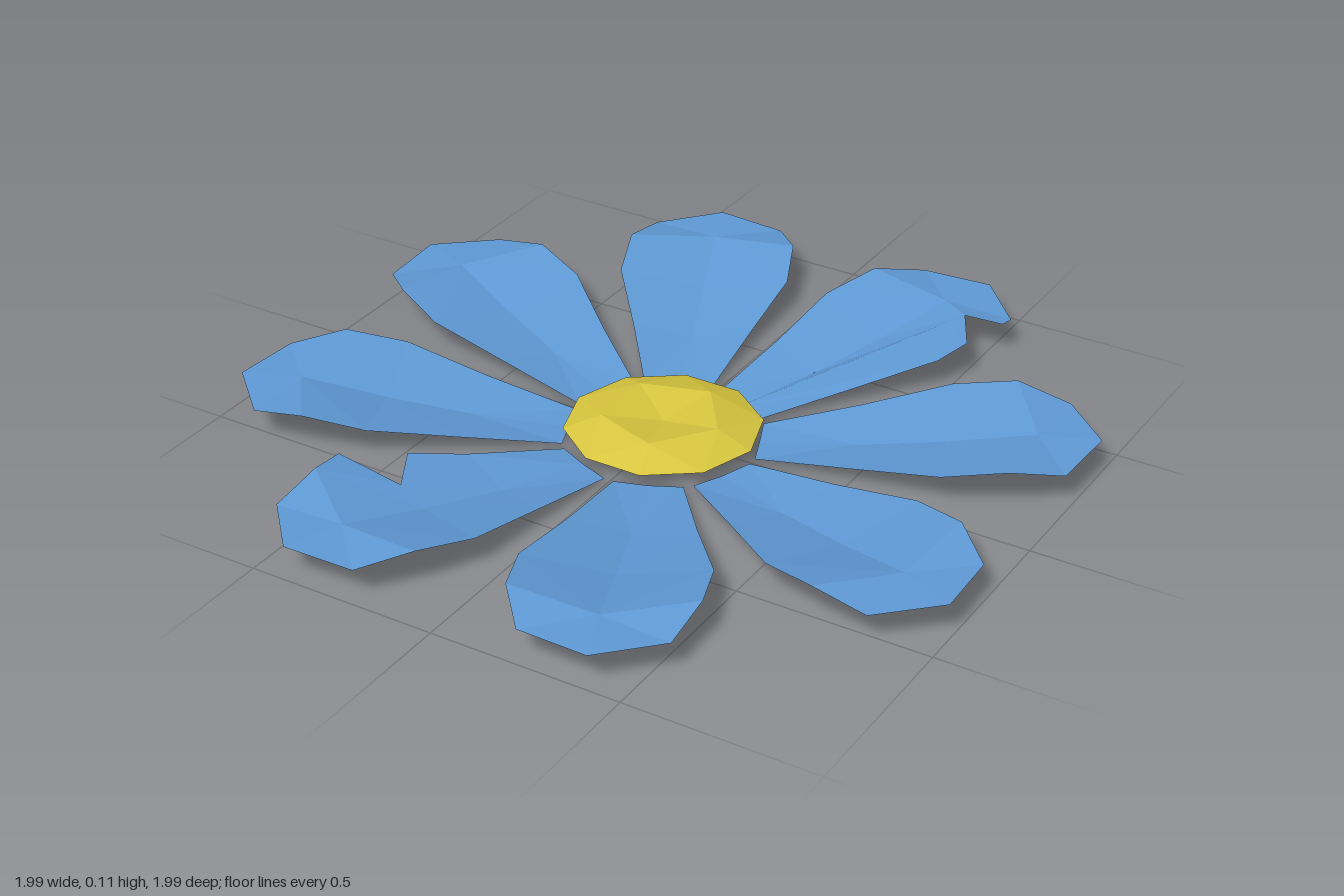
import * as THREE from 'three';

// Half-petal points: [distance from centre, offset from midrib, height]
const RIB = [[0.24, 0, 0.004], [0.48, 0, 0.02], [0.7, 0, 0.05]];
const RIDGE = [0.92, 0, 0.09];
const TIP = [1.075, 0, 0.088];
const BASE = [[0.24, 0.086, 0.008], [0.48, 0.155, 0.045]];
const SHOULDER = [0.7, 0.225, 0.085];
const CREST = [0.86, 0.222, 0.11];
const END = [0.995, 0.172, 0.084];

// Outer edge of the cupped body and of the drooping tip
const WHOLE = { body: [...BASE, SHOULDER, CREST], tip: [CREST, END] };
const TORN_LOW = {
  body: [...BASE, [0.614, 0.208, 0.07], [0.7, 0.1, 0.066], [0.77, 0.265, 0.097], CREST],
  tip: [CREST, END],
};
const TORN_HIGH = {
  body: [...BASE, SHOULDER, [0.8, 0.22, 0.1], [0.894, 0.105, 0.1]],
  tip: [[0.894, 0.105, 0.1], [0.95, 0.19, 0.093], END],
};

// Flat-shaded geometry from a list of triangles, every face turned by the given test
function facets(triangles, shouldFlip) {
  const pos = [];
  for (const [a, b, c] of triangles) {
    const tri = new THREE.Triangle(a, b, c);
    const n = tri.getNormal(new THREE.Vector3());
    const mid = tri.getMidpoint(new THREE.Vector3());
    for (const p of shouldFlip(n, mid) ? [a, c, b] : [a, b, c]) pos.push(p.x, p.y, p.z);
  }
  const geo = new THREE.BufferGeometry();
  geo.setAttribute('position', new THREE.Float32BufferAttribute(pos, 3));
  geo.computeVertexNormals();
  return geo;
}

// Fill an outline of [u, v, y] points
function fill(points, side) {
  const flat = points.map(([u, v]) => new THREE.Vector2(u, v));
  const p = points.map(([u, v, y]) => new THREE.Vector3(u, y, v * side));
  return THREE.ShapeUtils.triangulateShape(flat, []).map((t) => t.map((i) => p[i]));
}

function petalGeometry(left, right) {
  const triangles = [];
  for (const [half, side] of [[left, 1], [right, -1]]) {
    // Body strips between midrib and edge
    if (half.body.length === 4) {
      const rib = [...RIB, RIDGE];
      for (let i = 0; i < 3; i++) {
        const [a, b, c, d] = [rib[i], rib[i + 1], half.body[i + 1], half.body[i]]
          .map(([u, v, y]) => new THREE.Vector3(u, y, v * side));
        triangles.push([a, b, d], [b, c, d]);
      }
    } else {
      triangles.push(...fill([...RIB, RIDGE, ...[...half.body].reverse()], side));
    }
    triangles.push(...fill([RIDGE, TIP, ...[...half.tip].reverse()], side));
  }
  return facets(triangles, (n) => n.y < 0);
}

// Faceted disc with a dimple above and below
function centreGeometry() {
  const ring = (n, r, y, turn = 0) => Array.from({ length: n }, (_, i) => {
    const a = turn + (i * 2 * Math.PI) / n;
    return new THREE.Vector3(r * Math.cos(a), y, r * Math.sin(a));
  });
  const rim = ring(10, 0.25, 0.036);
  const triangles = [];
  for (const [y, dimple, shift] of [[0.07, 0.045, 0], [0.002, 0.027, 1]]) {
    const five = ring(5, 0.155, y, (shift * Math.PI) / 5);
    const pole = new THREE.Vector3(0, dimple, 0);
    for (let i = 0; i < 5; i++) {
      const p = five[i], q = five[(i + 1) % 5];
      const k = 2 * i + shift;
      const [r0, r1, r2] = [0, 1, 2].map((j) => rim[(k + j) % 10]);
      triangles.push([p, q, pole], [p, q, r1], [p, r0, r1], [q, r1, r2]);
    }
  }
  return facets(triangles, (n, m) => n.y * (m.y - 0.036) < 0);
}

export function createModel() {
  const flower = new THREE.Group();
  flower.name = 'flower';
  const blue = new THREE.MeshStandardMaterial({ color: 0x5f9ad6, flatShading: true, side: THREE.DoubleSide });
  const yellow = new THREE.MeshStandardMaterial({ color: 0xd8c63f, flatShading: true, side: THREE.DoubleSide });

  // Eight petals, two of them torn
  const whole = petalGeometry(WHOLE, WHOLE);
  const torn = { 2: petalGeometry(TORN_LOW, WHOLE), 6: petalGeometry(TORN_HIGH, WHOLE) };
  for (let k = 0; k < 8; k++) {
    const petal = new THREE.Mesh(torn[k] ?? whole, blue);
    petal.name = torn[k] ? 'tornPetal' : 'petal';
    petal.rotation.y = -(k + 0.5) * (Math.PI / 4);
    flower.add(petal);
  }

  // Flower centre
  const centre = new THREE.Mesh(centreGeometry(), yellow);
  centre.name = 'flowerCentre';
  flower.add(centre);
  return flower;
}
